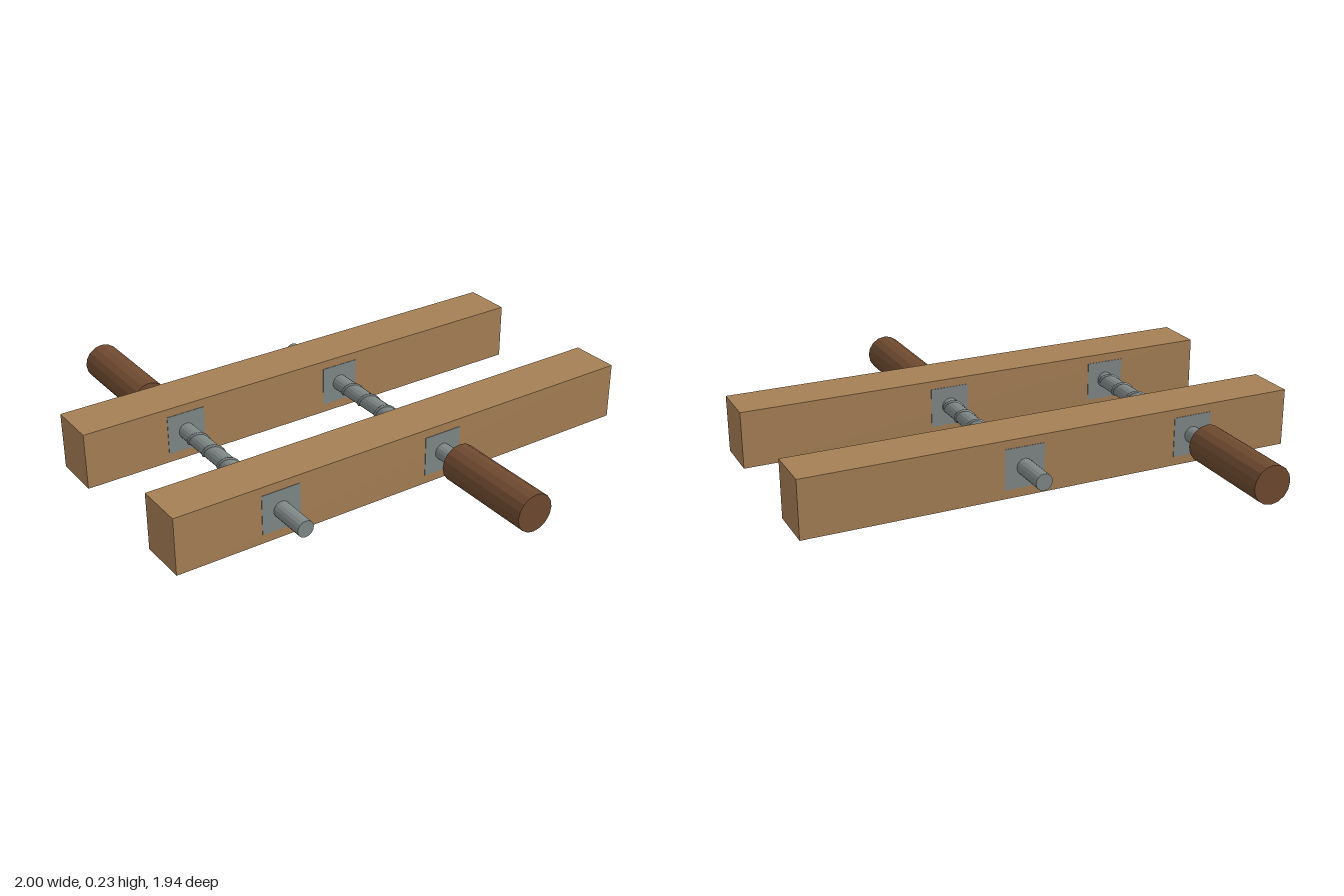
import * as THREE from 'three';

const wood = new THREE.MeshStandardMaterial({ color: 0xa67f55, flatShading: true });
const darkWood = new THREE.MeshStandardMaterial({ color: 0x6f4a30, flatShading: true });
const metal = new THREE.MeshStandardMaterial({ color: 0x808888, flatShading: true });
const threadMetal = new THREE.MeshStandardMaterial({ color: 0x808888 });

const AXIS_Y = 0.116;
const JAW_Z = 0.342;

function add(parent, name, geometry, material, x = 0, y = 0, z = 0) {
  const mesh = new THREE.Mesh(geometry, material);
  mesh.name = name;
  mesh.position.set(x, y, z);
  parent.add(mesh);
  return mesh;
}

// Cylinder lying along z between two depths
function rodAlongZ(radius, z0, z1) {
  return new THREE.CylinderGeometry(radius, radius, z1 - z0, 16)
    .rotateX(Math.PI / 2)
    .translate(0, 0, (z0 + z1) / 2);
}

// Raised helical thread between the jaws
class Helix extends THREE.Curve {
  getPoint(t, target = new THREE.Vector3()) {
    const a = -t * 4 * Math.PI * 2;
    return target.set(0.031 * Math.cos(a), 0.031 * Math.sin(a), -0.225 + 0.45 * t);
  }
}

// Spindle with its handle on the +z or -z side
function createSpindle(name, x, side) {
  const spindle = new THREE.Group();
  spindle.name = name;
  spindle.position.set(x, AXIS_Y, 0);
  const span = (a, b) => (side > 0 ? [a, b] : [-b, -a]);
  add(spindle, 'rod', rodAlongZ(0.033, ...span(-0.598, 0.56)), metal);
  add(spindle, 'thread', new THREE.TubeGeometry(new Helix(), 128, 0.007, 6), threadMetal);
  add(spindle, 'handle', rodAlongZ(0.076, ...span(0.542, 0.968)), darkWood);
  // Metal inserts passing through both jaws
  for (const s of [1, -1]) {
    add(spindle, 'insert', new THREE.BoxGeometry(0.16, 0.16, 0.202), metal, 0, 0, s * JAW_Z);
  }
  return spindle;
}

export function createModel() {
  const clamp = new THREE.Group();
  clamp.name = 'handScrewClamp';
  // Wooden jaws
  for (const s of [1, -1]) {
    add(clamp, s > 0 ? 'frontJaw' : 'backJaw', new THREE.BoxGeometry(2, 0.23, 0.198), wood, 0, 0.115, s * JAW_Z);
  }
  clamp.add(createSpindle('rightSpindle', -0.575, -1), createSpindle('leftSpindle', 0.14, 1));
  return clamp;
}
